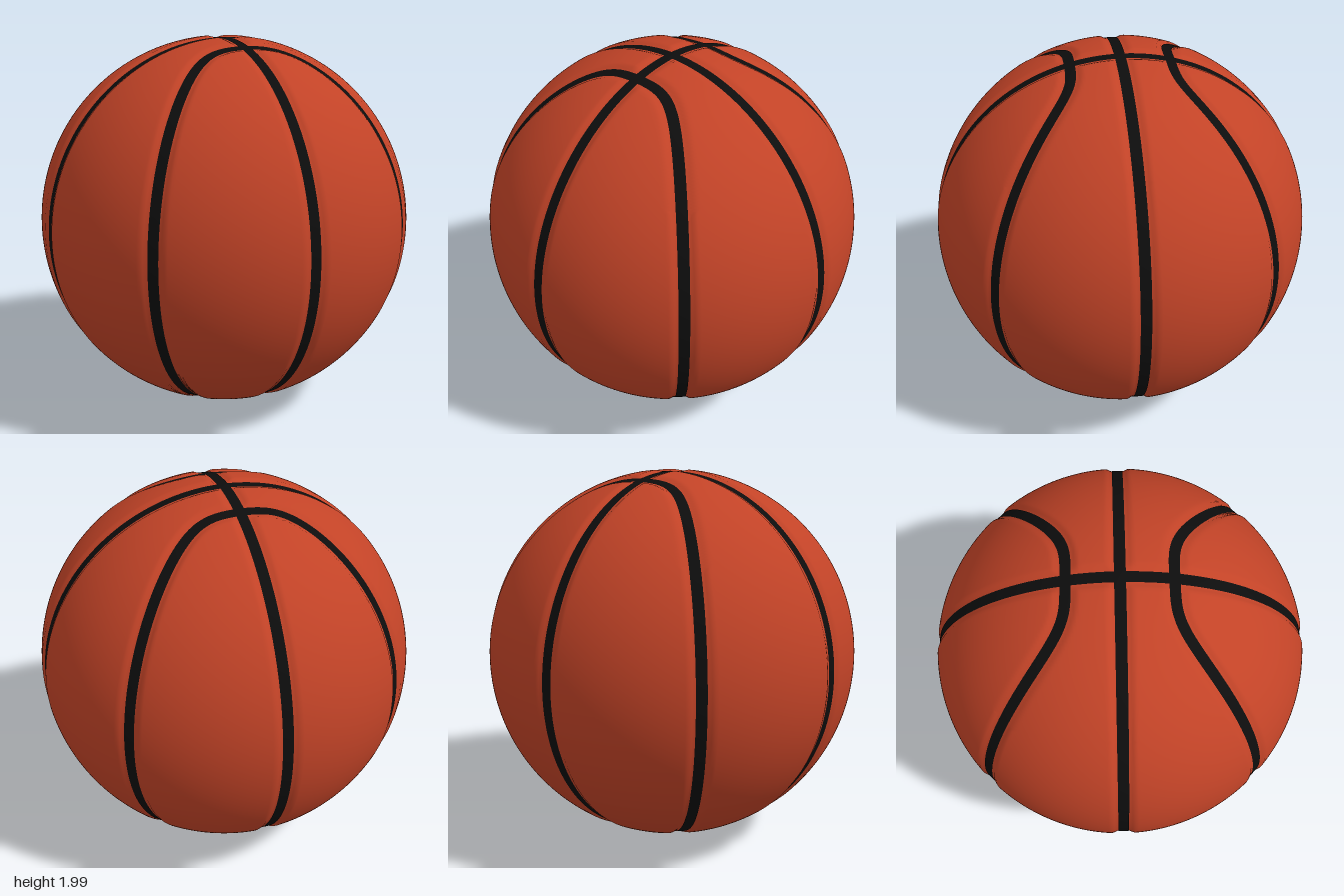
import * as THREE from 'three';
import { mergeVertices } from 'three/addons/utils/BufferGeometryUtils.js';

const SEAM_HALF = 0.0275; // half width of a black seam
const GROOVE_DEPTH = 0.014;
const SEAM_RADIUS = 0.989;
const BEND = 0.255; // how close the curved seams come to the poles

// Seam centre lines on the unit sphere, t = 0..2PI
const sideCircle = (t) => new THREE.Vector3(Math.sin(t), Math.cos(t), 0);
const frontCircle = (t) => new THREE.Vector3(0, Math.cos(t), Math.sin(t));
const X_MAX = Math.sqrt((1 - BEND ** 4) / 2);
function curvedSeam(t) {
  const x = X_MAX * Math.sin(t);
  const z = (x ** 4 + BEND ** 4) ** 0.25;
  const y = Math.sign(Math.cos(t)) * Math.sqrt(Math.max(0, 1 - x * x - z * z));
  return new THREE.Vector3(x, y, z);
}

// Ball: an even cube-sphere, pressed in along the seams
function makeBall() {
  const samples = [];
  for (let i = 0; i <= 200; i++) samples.push(curvedSeam((i / 200) * Math.PI / 2));
  const n = 100;
  let geo = new THREE.BoxGeometry(2, 2, 2, n, n, n);
  geo.deleteAttribute('normal');
  geo.deleteAttribute('uv');
  geo.clearGroups();
  geo = mergeVertices(geo, 1e-4);
  const pos = geo.attributes.position;
  const v = new THREE.Vector3();
  const folded = new THREE.Vector3();
  for (let i = 0; i < pos.count; i++) {
    v.fromBufferAttribute(pos, i);
    // tangent spacing keeps the facets similar in size
    v.set(...v.toArray().map((c) => Math.tan(c * Math.PI / 4))).normalize();
    folded.set(Math.abs(v.x), Math.abs(v.y), Math.abs(v.z));
    let d2 = Math.min(folded.x, folded.z) ** 2;
    for (const s of samples) d2 = Math.min(d2, folded.distanceToSquared(s));
    const rise = THREE.MathUtils.smoothstep(Math.sqrt(d2), SEAM_HALF, 0.062);
    v.multiplyScalar(1 - GROOVE_DEPTH * (1 - rise));
    pos.setXYZ(i, v.x, v.y, v.z);
  }
  geo.computeVertexNormals();
  return geo;
}

// Seam: a closed ribbon that follows the sphere
function makeSeam(path) {
  const segments = 256, across = 4;
  const positions = [], normals = [], index = [];
  for (let i = 0; i <= segments; i++) {
    const t = (i / segments) * Math.PI * 2 + 0.003;
    const p = path(t);
    const tangent = path(t + 0.002).sub(path(t - 0.002)).normalize();
    const side = new THREE.Vector3().crossVectors(p, tangent).normalize();
    for (let j = 0; j <= across; j++) {
      const offset = (j / across * 2 - 1) * SEAM_HALF;
      const q = p.clone().addScaledVector(side, offset).normalize();
      normals.push(...q.toArray());
      positions.push(...q.multiplyScalar(SEAM_RADIUS).toArray());
      if (i < segments && j < across) {
        const a = i * (across + 1) + j, b = a + across + 1;
        index.push(a, b, a + 1, b, b + 1, a + 1);
      }
    }
  }
  const geo = new THREE.BufferGeometry();
  geo.setAttribute('position', new THREE.Float32BufferAttribute(positions, 3));
  geo.setAttribute('normal', new THREE.Float32BufferAttribute(normals, 3));
  geo.setIndex(index);
  return geo;
}

export function createModel() {
  const orange = new THREE.MeshStandardMaterial({ color: 0xc24327 });
  orange.name = 'orangeLeather';
  const black = new THREE.MeshStandardMaterial({ color: 0x0d0d0d, side: THREE.DoubleSide });
  black.name = 'blackSeam';

  const group = new THREE.Group();
  group.name = 'basketball';
  const add = (name, geometry, material) => {
    const mesh = new THREE.Mesh(geometry, material);
    mesh.name = name;
    mesh.position.y = 1;
    group.add(mesh);
    return mesh;
  };

  add('ball', makeBall(), orange);
  add('sideSeam', makeSeam(sideCircle), black);
  add('frontSeam', makeSeam(frontCircle), black);
  const curved = makeSeam(curvedSeam);
  add('frontCurvedSeam', curved, black);
  add('backCurvedSeam', curved, black).rotation.y = Math.PI;
  return group;
}
